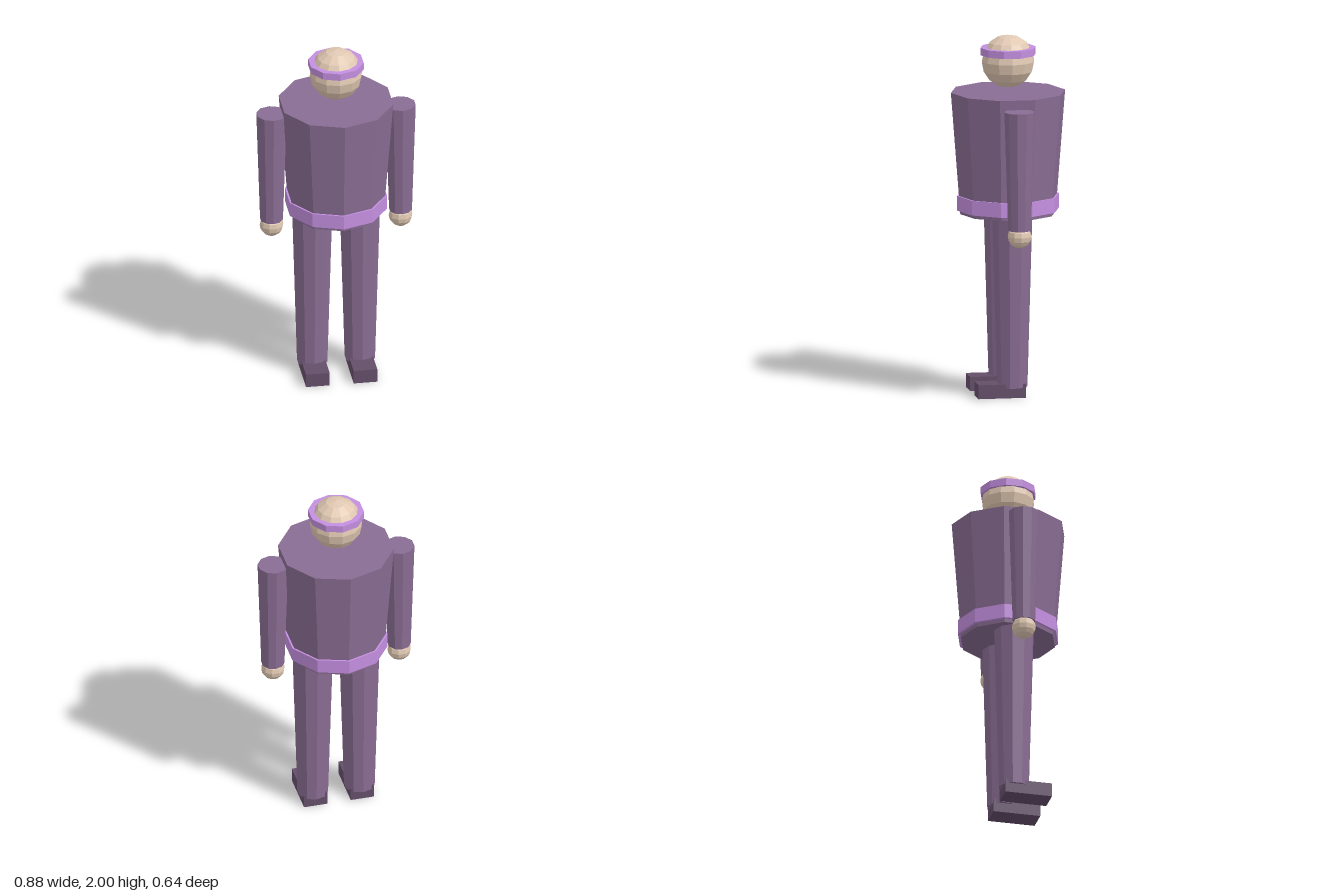
import * as THREE from 'three';

const paint = (color) => new THREE.MeshStandardMaterial({ color, flatShading: true });

export function createModel() {
  const model = new THREE.Group();
  const suit = paint(0x8a6d94);
  const trim = paint(0xc48fe0);
  const skin = paint(0xe0c8b2);
  const leather = paint(0x644e6a);

  function add(name, geometry, material, x, y, z = 0) {
    const mesh = new THREE.Mesh(geometry, material);
    mesh.name = name;
    mesh.position.set(x, y, z);
    model.add(mesh);
  }

  // Ten-sided tapered column between two heights
  function column(name, material, rTop, rBottom, yBottom, yTop, x = 0) {
    const geometry = new THREE.CylinderGeometry(rTop, rBottom, yTop - yBottom, 10);
    add(name, geometry, material, x, (yBottom + yTop) / 2);
  }

  // Torso and belt
  column('torso', suit, 0.32, 0.267, 1.003, 1.684);
  column('belt', trim, 0.285, 0.285, 1.024, 1.106);

  // Head and headband
  add('head', new THREE.SphereGeometry(0.147, 12, 8), skin, 0, 1.853);
  column('headband', trim, 0.155, 0.155, 1.89, 1.931);

  // Limbs, mirrored left and right
  for (const [side, s] of [['left', 1], ['right', -1]]) {
    column(`${side}Arm`, suit, 0.085, 0.064, 0.967, 1.63, s * 0.36);
    add(`${side}Hand`, new THREE.SphereGeometry(0.066, 10, 8), skin, s * 0.36, 0.933);
    column(`${side}Leg`, suit, 0.112, 0.085, 0.055, 1.003, s * 0.133);
    add(`${side}Shoe`, new THREE.BoxGeometry(0.132, 0.078, 0.265), leather, s * 0.133, 0.039, 0.068);
  }

  return model;
}
